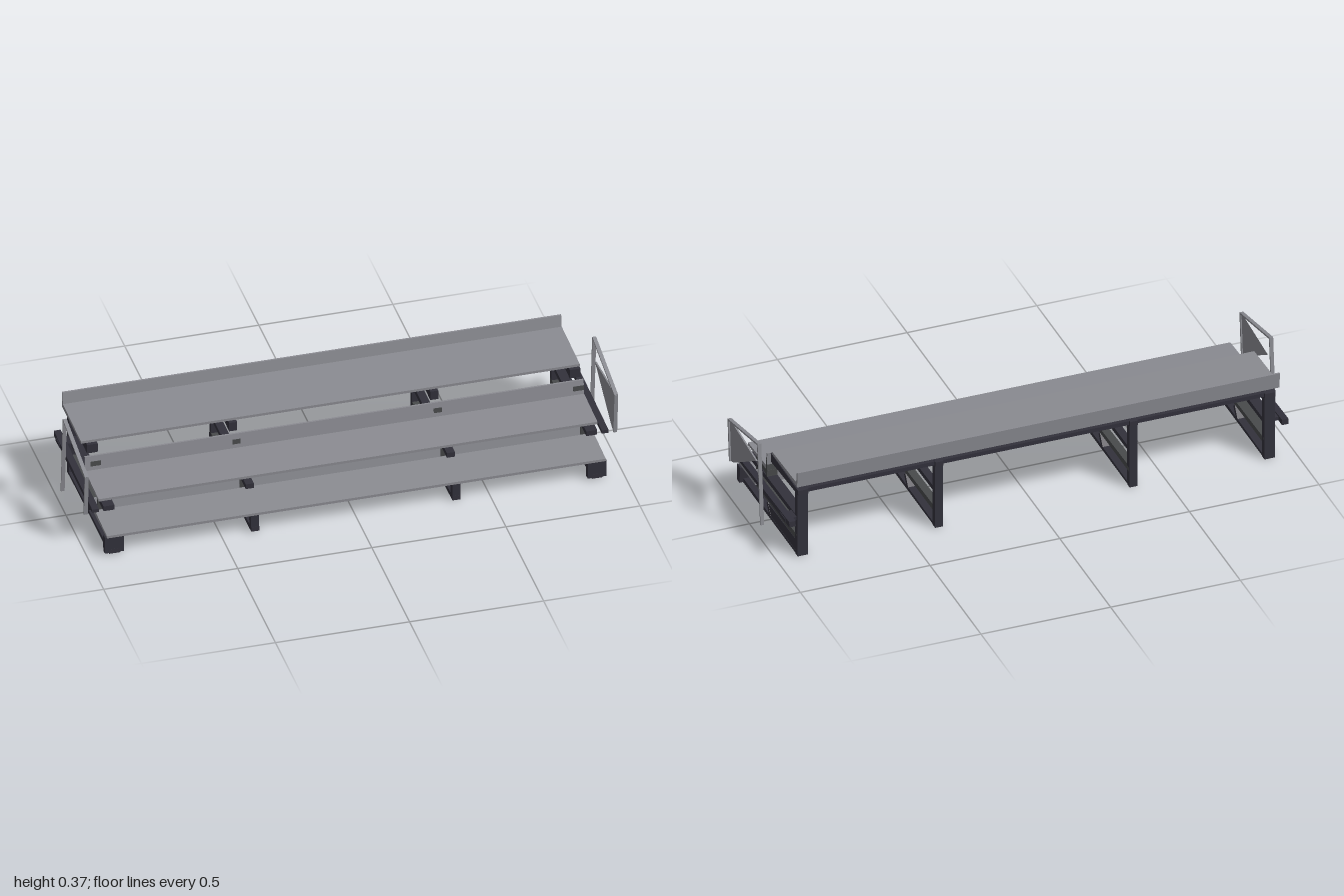
import * as THREE from 'three';

const mat = (name, color) => {
  const m = new THREE.MeshStandardMaterial({ color });
  m.name = name;
  return m;
};

export function createModel() {
  const plankGrey = mat('plank grey', 0x8a8b91);
  const beamGrey = mat('beam grey', 0x484a4b);
  const frameDark = mat('frame dark', 0x32313b);
  const model = new THREE.Group();

  const add = (parent, name, geometry, material) => {
    const mesh = new THREE.Mesh(geometry, material);
    mesh.name = name;
    parent.add(mesh);
    return mesh;
  };
  const group = (name) => {
    const g = new THREE.Group();
    g.name = name;
    model.add(g);
    return g;
  };
  const outline = (pts) => new THREE.Shape(pts.map(([z, y]) => new THREE.Vector2(z, y)));

  // Side profile given as [z, y] points, extruded to a width centred on x
  const profile = (pts, x, width) =>
    new THREE.ExtrudeGeometry(outline(pts), { depth: width, bevelEnabled: false })
      .translate(0, 0, -width / 2).rotateY(-Math.PI / 2).translate(x, 0, 0);

  // Straight bar between two [z, y] points, tapering from thickness t0 to t1
  const bar = ([z0, y0], [z1, y1], t0, t1, x, width) => {
    const len = Math.hypot(z1 - z0, y1 - y0);
    const nz = -(y1 - y0) / len / 2, ny = (z1 - z0) / len / 2;
    return profile([
      [z0 + nz * t0, y0 + ny * t0], [z1 + nz * t1, y1 + ny * t1],
      [z1 - nz * t1, y1 - ny * t1], [z0 - nz * t0, y0 - ny * t0],
    ], x, width);
  };

  // Three stepped planks, each with an upturned back lip
  const tiers = [
    { name: 'lowerPlank', front: 0.295, back: 0.125, y: 0.08, lip: 0.14, x: 0 },
    { name: 'middlePlank', front: 0.22, back: 0.035, y: 0.193, lip: 0.262, x: -0.01 },
    { name: 'upperPlank', front: -0.015, back: -0.262, y: 0.292, lip: 0.35, x: -0.01 },
  ];
  for (const { name, front, back, y, lip, x } of tiers) {
    add(model, name, profile([
      [front, y - 0.005], [front, y + 0.005], [back + 0.008, y + 0.013],
      [back + 0.001, lip], [back - 0.006, lip], [back - 0.002, y - 0.004],
    ], x, 1.86), plankGrey);
  }

  // Four support frames; the outer pair has broader feet
  for (const x of [-0.9, -0.375, 0.375, 0.9]) {
    const end = Math.abs(x) > 0.5;
    const frame = group(end ? 'endFrame' : 'innerFrame');
    const w = end ? 0.04 : 0.03;
    add(frame, 'rearPost', bar([-0.258, 0], [-0.256, 0.275], 0.024, 0.024, x, w), frameDark);
    add(frame, 'frontPost', bar([0.276, 0.005], [0.272, 0.072], 0.022, 0.03, x, end ? 0.07 : w), frameDark);
    add(frame, 'floorBeam', bar([0.288, 0.012], [-0.268, 0.008], 0.018, 0.01, x, w), frameDark);
    add(frame, 'lowerBeam', bar([0.285, 0.069], [-0.265, 0.075], 0.012, 0.024, x, w), beamGrey);
    add(frame, 'lowerBrace', bar([0.03, 0.055], [0, 0.008], 0.016, 0.016, x, w), frameDark);
    add(frame, 'middleBeam', bar([0.215, 0.15], [-0.268, 0.157], 0.02, 0.018, x, w), frameDark);
    add(frame, 'lowerRiser', bar([0.125, 0.08], [0.13, 0.15], 0.012, 0.02, x, w), beamGrey);
    add(frame, 'middleSupport', bar([0.14, 0.183], [0.03, 0.178], 0.014, 0.022, x, w), beamGrey);
    add(frame, 'middleRiser', bar([0.038, 0.155], [0.036, 0.24], 0.014, 0.008, x, w), beamGrey);
    add(frame, 'upperBeam', bar([-0.005, 0.266], [-0.275, 0.27], 0.036, 0.018, x, w), frameDark);
  }

  // Closing panel low on the left end frame
  add(model, 'endPanel', profile([[0.02, 0.055], [0, 0.01], [-0.25, 0.01], [-0.25, 0.06]], 0.915, 0.008), frameDark);

  // Long rear rail under the upper plank
  add(model, 'rearRail', new THREE.BoxGeometry(1.84, 0.016, 0.02).translate(-0.005, 0.27, -0.255), frameDark);

  // Gusset plates beside the inner frames
  for (const [x, reach] of [[0.375, -0.29], [-0.36, -0.24]]) {
    const tri = new THREE.Shape([[0, 0], [0, 0.045], [reach, 0]].map(([a, b]) => new THREE.Vector2(a, b)));
    add(model, 'gusset', new THREE.ExtrudeGeometry(tri, { depth: 0.006, bevelEnabled: false })
      .rotateX(-0.9).translate(x, 0.125, 0.03), plankGrey);
  }

  // Side arms and guard rails at both ends
  for (const s of [-1, 1]) {
    const guard = group(s > 0 ? 'leftGuard' : 'rightGuard');
    add(guard, 'sideArm', bar([0.215, 0.147], [-0.295, 0.158], 0.014, 0.022, s * 0.95, 0.025), frameDark);
    add(guard, 'armBracket', new THREE.BoxGeometry(0.08, 0.014, 0.05).translate(s * 0.925, 0.155, -0.235), frameDark);
    add(guard, 'topRail', bar([0.23, 0.306], [-0.062, 0.369], 0.007, 0.007, s * 0.987, 0.014), plankGrey);
    add(guard, 'rearStrut', bar([-0.061, 0.371], [-0.091, 0.045], 0.007, 0.005, s * 0.987, 0.014), plankGrey);
    add(guard, 'frontStrut', bar([0.228, 0.308], [0.214, 0.14], 0.008, 0.008, s * 0.987, 0.014), plankGrey);
    const plate = [[0.23, 0.31], [0.216, 0.14], [0.19, 0.145], [-0.01, 0.268], [-0.035, 0.283]];
    // The right plate is a single inward-facing sheet
    add(guard, 'guardPlate', s > 0
      ? profile(plate, 0.985, 0.006)
      : new THREE.ShapeGeometry(outline(plate)).rotateY(-Math.PI / 2).scale(-1, 1, 1)
        .translate(-0.985, 0, 0), plankGrey);
  }
  // Mirroring the sheet reverses its corners, so restore the inward winding
  const sheet = model.getObjectByName('rightGuard').getObjectByName('guardPlate').geometry;
  const idx = sheet.index, pos = sheet.attributes.position;
  const [a, b, c] = [0, 1, 2].map((i) => new THREE.Vector3().fromBufferAttribute(pos, idx.getX(i)));
  if (b.sub(a).cross(c.sub(a)).x < 0) {
    for (let i = 0; i < idx.count; i += 3) {
      const t = idx.getX(i);
      idx.setX(i, idx.getX(i + 1));
      idx.setX(i + 1, t);
    }
  }
  sheet.computeVertexNormals();

  return model;
}
